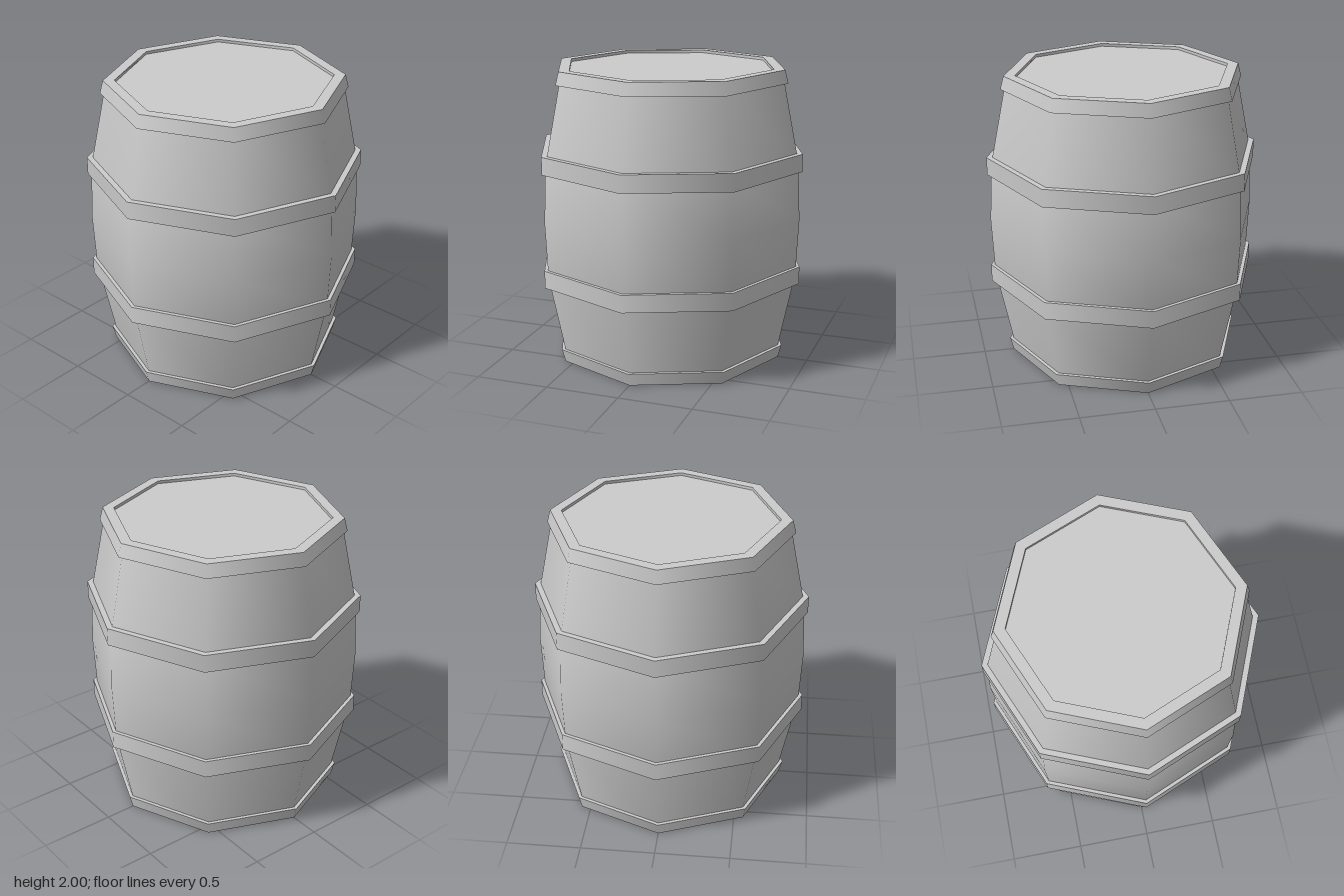
import * as THREE from 'three';
import { mergeGeometries } from 'three/addons/utils/BufferGeometryUtils.js';

const SIDES = 8;
const material = new THREE.MeshStandardMaterial({ color: 0xcccccc });

// Revolves profile runs of [radius, y]; normals are smooth within a run, sharp between runs.
function revolve(name, runs) {
  const strips = runs.map((run) =>
    new THREE.LatheGeometry(run.map(([r, y]) => new THREE.Vector2(r, y)), SIDES));
  const mesh = new THREE.Mesh(mergeGeometries(strips), material);
  mesh.name = name;
  return mesh;
}

// Splits a polyline into one run per segment, so every profile edge is sharp.
const hardEdges = (points) => points.slice(1).map((p, i) => [points[i], p]);

export function createModel() {
  const barrel = new THREE.Group();
  barrel.name = 'barrel';

  // Bulging stave wall
  barrel.add(revolve('staves', [
    [[0.775, 0], [0.9, 0.61], [0.918, 1], [0.9, 1.39], [0.775, 2]],
  ]));

  // Recessed heads with the rim around them
  const recess = 0.02;
  barrel.add(revolve('topHead', hardEdges([
    [0.795, 2], [0.72, 2], [0.72, 2 - recess], [0, 2 - recess],
  ])));
  barrel.add(revolve('bottomHead', hardEdges([
    [0, recess], [0.72, recess], [0.72, 0], [0.795, 0],
  ])));

  // Flared end hoops
  barrel.add(revolve('bottomHoop', hardEdges([
    [0.795, 0], [0.818, 0.088], [0.78, 0.088],
  ])));
  barrel.add(revolve('topHoop', hardEdges([
    [0.78, 1.912], [0.818, 1.912], [0.795, 2],
  ])));

  // Straight middle hoops
  for (const [name, y] of [['lowerHoop', 0.61], ['upperHoop', 1.39]]) {
    const h = 0.06;
    barrel.add(revolve(name, hardEdges([
      [0.87, y - h], [0.928, y - h], [0.928, y + h], [0.87, y + h],
    ])));
  }

  return barrel;
}
